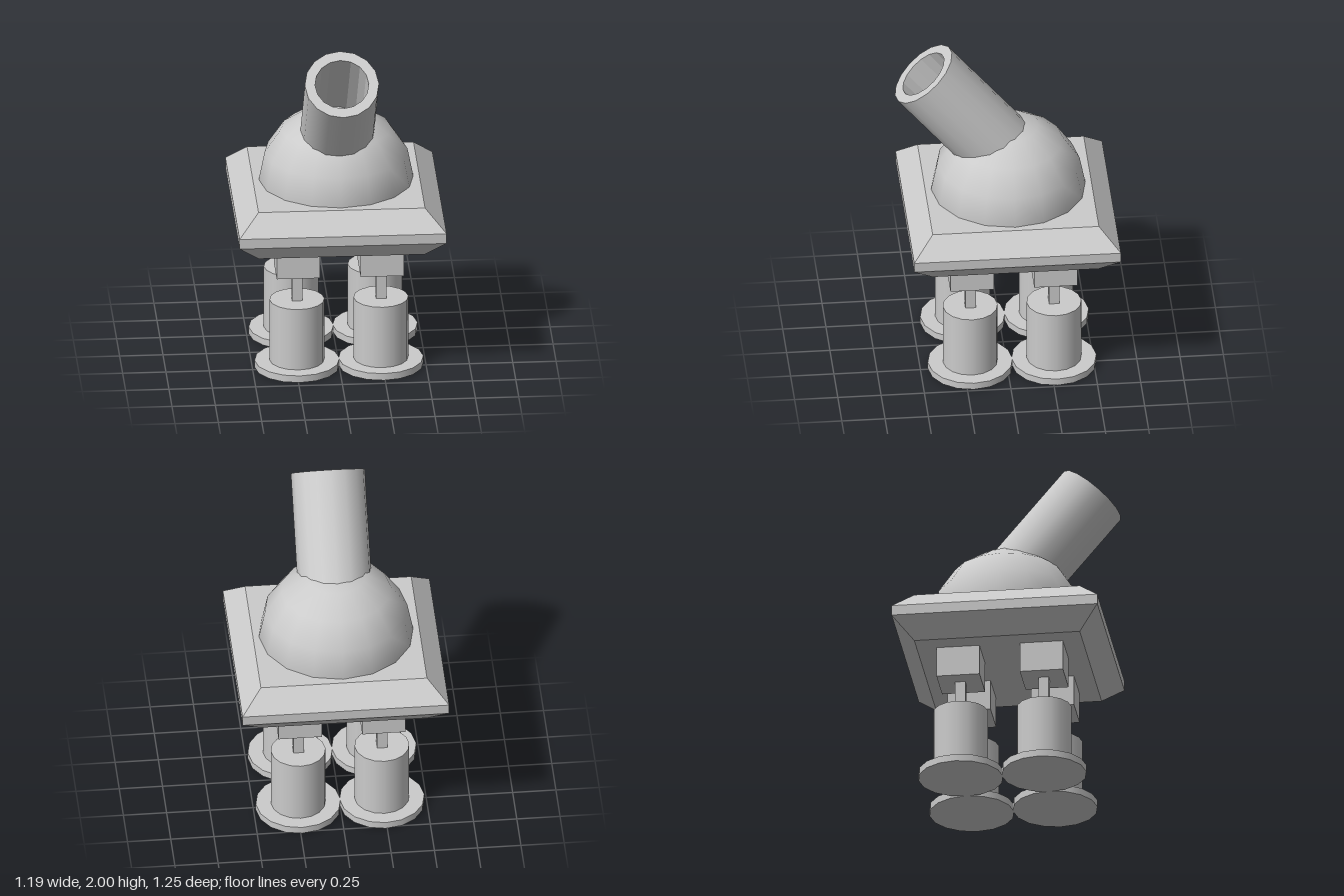
import * as THREE from 'three';

const SIDES = 16;
const smooth = new THREE.MeshStandardMaterial({ color: 0xcccccc });
const flat = new THREE.MeshStandardMaterial({ color: 0xcccccc, flatShading: true });
const bore = new THREE.MeshStandardMaterial({ color: 0xcccccc, flatShading: true, side: THREE.DoubleSide });

function add(parent, name, geometry, material, y = 0) {
  const mesh = new THREE.Mesh(geometry, material);
  mesh.name = name;
  mesh.position.y = y;
  parent.add(mesh);
  return mesh;
}

// Square plate with bevelled top and bottom edges
function platformGeometry() {
  const profile = [[0, 0.78], [0.48, 0.78], [0.597, 0.895], [0.597, 0.955], [0.48, 1.07], [0, 1.07]]
    .map(([half, y]) => new THREE.Vector2(half * Math.SQRT2, y));
  return new THREE.LatheGeometry(profile, 4, Math.PI / 4).toNonIndexed();
}

// Foot disc, leg cylinder, thin rod and mounting block
function createLeg(x, z) {
  const leg = new THREE.Group();
  leg.name = 'leg';
  leg.position.set(x, 0, z);
  add(leg, 'footDisc', new THREE.CylinderGeometry(0.245, 0.245, 0.042, SIDES), smooth, 0.021);
  add(leg, 'legCylinder', new THREE.CylinderGeometry(0.158, 0.158, 0.378, SIDES), smooth, 0.231);
  add(leg, 'legRod', new THREE.BoxGeometry(0.06, 0.18, 0.06), flat, 0.51);
  add(leg, 'mountingBlock', new THREE.BoxGeometry(0.25, 0.18, 0.25), flat, 0.69);
  return leg;
}

// Hollow tube leaning forward, open at the muzzle
function createBarrel() {
  const length = 0.74, outer = 0.214, inner = 0.155;
  const barrel = new THREE.Group();
  barrel.name = 'barrel';
  add(barrel, 'barrelOuter', new THREE.CylinderGeometry(outer, outer, length, SIDES, 1, true), smooth, length / 2);
  add(barrel, 'barrelBore', new THREE.CylinderGeometry(inner, inner, length, SIDES, 1, true), bore, length / 2);
  const rim = add(barrel, 'barrelRim', new THREE.RingGeometry(inner, outer, SIDES), flat, length);
  rim.rotation.x = -Math.PI / 2;
  barrel.rotation.x = THREE.MathUtils.degToRad(39.9);
  barrel.position.set(0, 1.295, -0.015);
  return barrel;
}

export function createModel() {
  const model = new THREE.Group();
  model.name = 'turret';

  // Everything below the barrel shares one centre line
  const base = new THREE.Group();
  base.name = 'base';
  base.position.z = -0.03;
  model.add(base);

  for (const x of [-0.242, 0.242])
    for (const z of [-0.242, 0.242]) base.add(createLeg(x, z));

  add(base, 'platform', platformGeometry(), flat);
  add(base, 'dome', new THREE.SphereGeometry(0.446, SIDES, 4, 0, Math.PI * 2, 0, Math.PI / 2), smooth, 1.068);

  model.add(createBarrel());
  return model;
}
